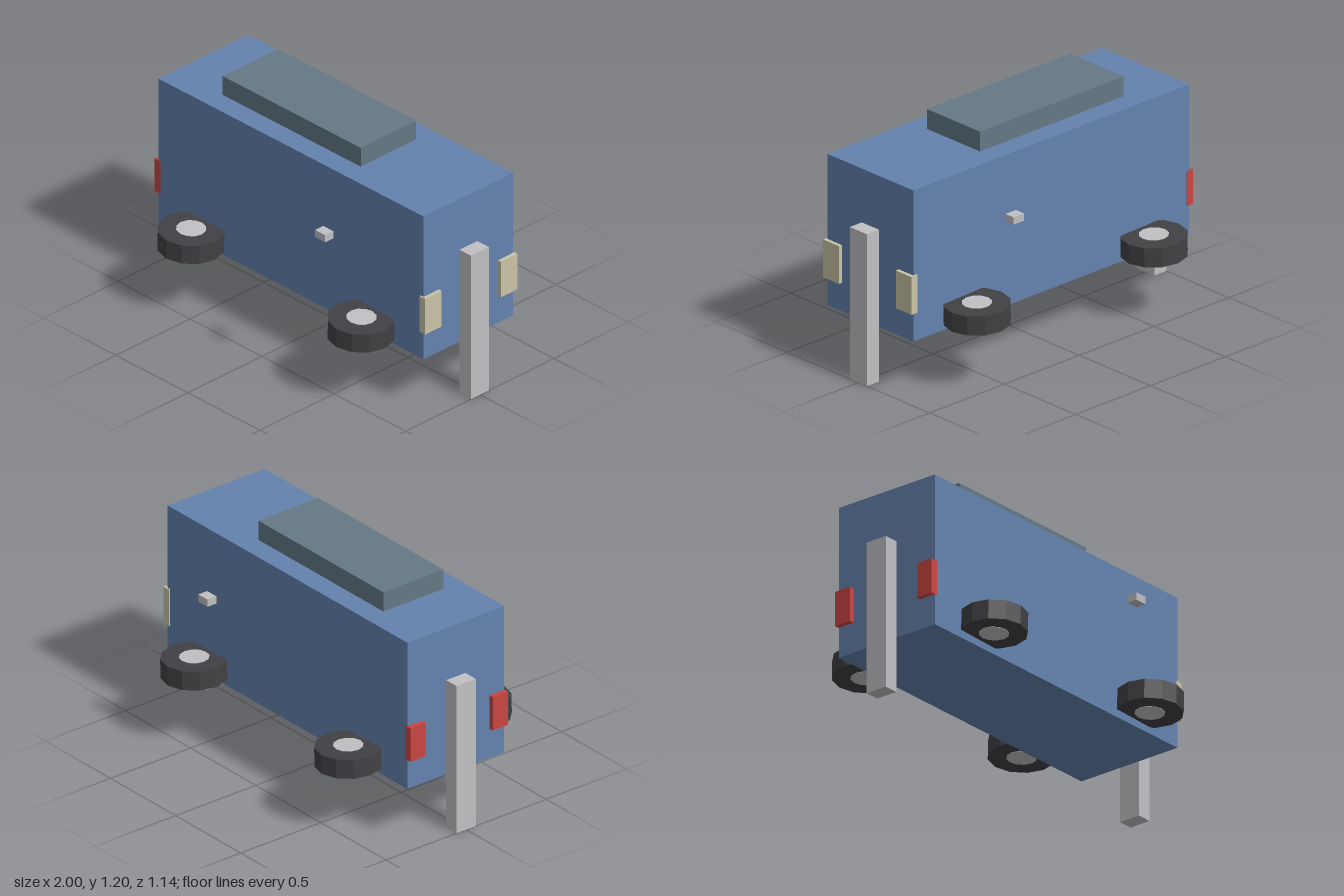
import * as THREE from 'three';

const mat = (name, color) => {
  const m = new THREE.MeshStandardMaterial({ color });
  m.name = name;
  return m;
};

export function createModel() {
  const group = new THREE.Group();
  const blue = mat('body blue', 0x6482ae);
  const slate = mat('roof slate', 0x647885);
  const silver = mat('silver', 0xc0c0c4);
  const rubber = mat('tyre rubber', 0x414044);
  rubber.flatShading = true;
  const cream = mat('headlight cream', 0xcac4a6);
  const red = mat('tail light red', 0xca4642);

  // Box given by its lower and upper limits
  const box = (name, material, [x0, x1], [y0, y1], [z0, z1]) => {
    const mesh = new THREE.Mesh(new THREE.BoxGeometry(x1 - x0, y1 - y0, z1 - z0), material);
    mesh.position.set((x0 + x1) / 2, (y0 + y1) / 2, (z0 + z1) / 2);
    mesh.name = name;
    group.add(mesh);
  };

  // Body and roof
  box('body', blue, [-0.92, 0.92], [0.29, 1.09], [-0.302, 0.302]);
  box('roof', slate, [-0.595, 0.365], [1.09, 1.195], [-0.187, 0.187]);

  // Upright bumpers at both ends
  box('frontBumper', silver, [0.92, 1], [0, 0.805], [-0.06, 0.06]);
  box('rearBumper', silver, [-1, -0.92], [0, 0.805], [-0.06, 0.06]);

  for (const s of [-1, 1]) {
    const side = s > 0 ? 'Left' : 'Right';
    const span = (a, b) => (s > 0 ? [a, b] : [-b, -a]);

    // Lights and mirrors
    box('headlight' + side, cream, [0.9, 0.94], [0.44, 0.64], span(0.2, 0.311));
    box('tailLight' + side, red, [-0.946, -0.906], [0.45, 0.633], span(0.21, 0.304));
    box('mirror' + side, silver, [0.37, 0.44], [0.825, 0.865], span(0.445, 0.5));

    // Flat-lying wheels, tilted slightly
    for (const x of [-0.592, 0.59]) {
      const wheel = new THREE.Group();
      wheel.name = (x > 0 ? 'frontWheel' : 'rearWheel') + side;
      const tyre = new THREE.Mesh(new THREE.CylinderGeometry(0.167, 0.167, 0.102, 12), rubber);
      tyre.name = 'tyre';
      const hub = new THREE.Mesh(new THREE.CylinderGeometry(0.075, 0.075, 0.106, 12), silver);
      hub.name = 'hub';
      wheel.add(tyre, hub);
      wheel.position.set(x, 0.379, s * 0.403);
      wheel.rotation.z = -0.03;
      group.add(wheel);
    }
  }
  return group;
}
